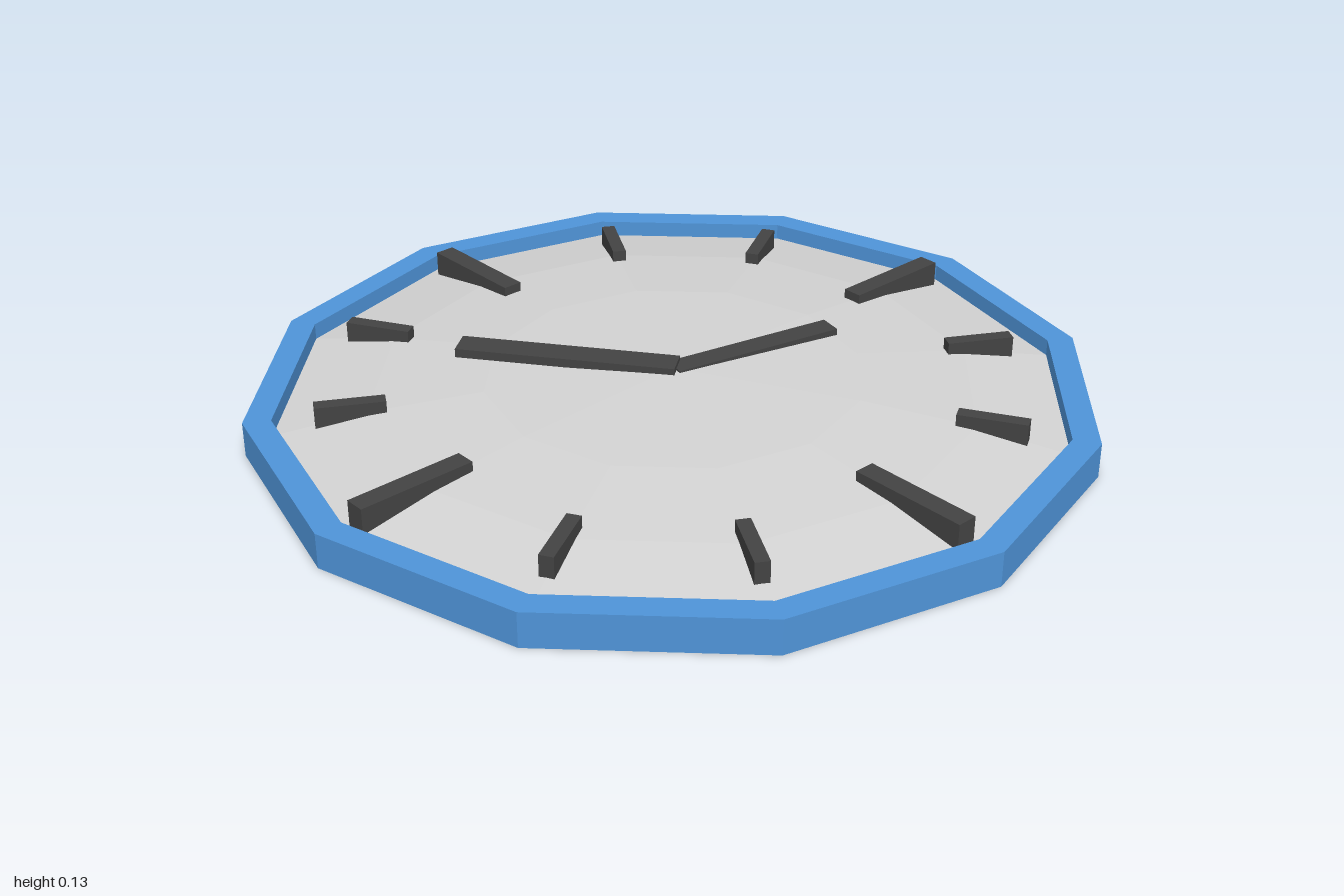
import * as THREE from 'three';

const mat = (name, color) => {
  const m = new THREE.MeshStandardMaterial({ color });
  m.name = name;
  return m;
};

export function createModel() {
  const clock = new THREE.Group();
  clock.name = 'wallClock';
  const blue = mat('frame blue', 0x4f94d8);
  const grey = mat('dial grey', 0xd3d3d3);
  const dark = mat('marker charcoal', 0x434343);

  const add = (name, geometry, material, parent = clock) => {
    const mesh = new THREE.Mesh(geometry, material);
    mesh.name = name;
    parent.add(mesh);
    return mesh;
  };

  // Faceted twelve-sided turning of an [radius, height] profile
  const turned = (profile) => {
    const g = new THREE.LatheGeometry(profile.map(([r, y]) => new THREE.Vector2(r, y)), 12).toNonIndexed();
    g.computeVertexNormals();
    return g;
  };

  // Frame: closed back, outer wall, flat rim and inner wall
  add('frame', turned([[0, 0], [1, 0], [1, 0.085], [0.935, 0.085], [0.935, 0.04]]), blue);

  // Shallow domed dial
  add('dial', turned([[0.935, 0.045], [0.72, 0.081], [0.45, 0.103], [0, 0.115]]), grey);

  // Flat bar between two points [x, z], from height y0 to y1
  const bar = (name, [ax, az], [bx, bz], width, y0, y1) => {
    const g = new THREE.BoxGeometry(Math.hypot(bx - ax, bz - az), y1 - y0, width);
    const mesh = add(name, g, dark);
    mesh.position.set((ax + bx) / 2, (y0 + y1) / 2, (az + bz) / 2);
    mesh.rotation.y = -Math.atan2(bz - az, bx - ax);
  };

  // Hour markers: long on the quarters, short between them
  for (let i = 0; i < 12; i++) {
    const a = (i * Math.PI) / 6;
    const quarter = i % 3 === 0;
    const [r0, r1, width] = quarter ? [0.61, 0.9, 0.05] : [0.674, 0.838, 0.034];
    const at = (r) => [r * Math.cos(a), r * Math.sin(a)];
    bar(quarter ? 'quarterMarker' : 'hourMarker', at(r0), at(r1), width, 0.045, 0.113);
  }

  // Hands
  bar('longHand', [0.005, 0.007], [-0.312, -0.42], 0.07, 0.108, 0.13);
  bar('shortHand', [0, 0], [0.431, 0.096], 0.058, 0.1, 0.119);

  return clock;
}
